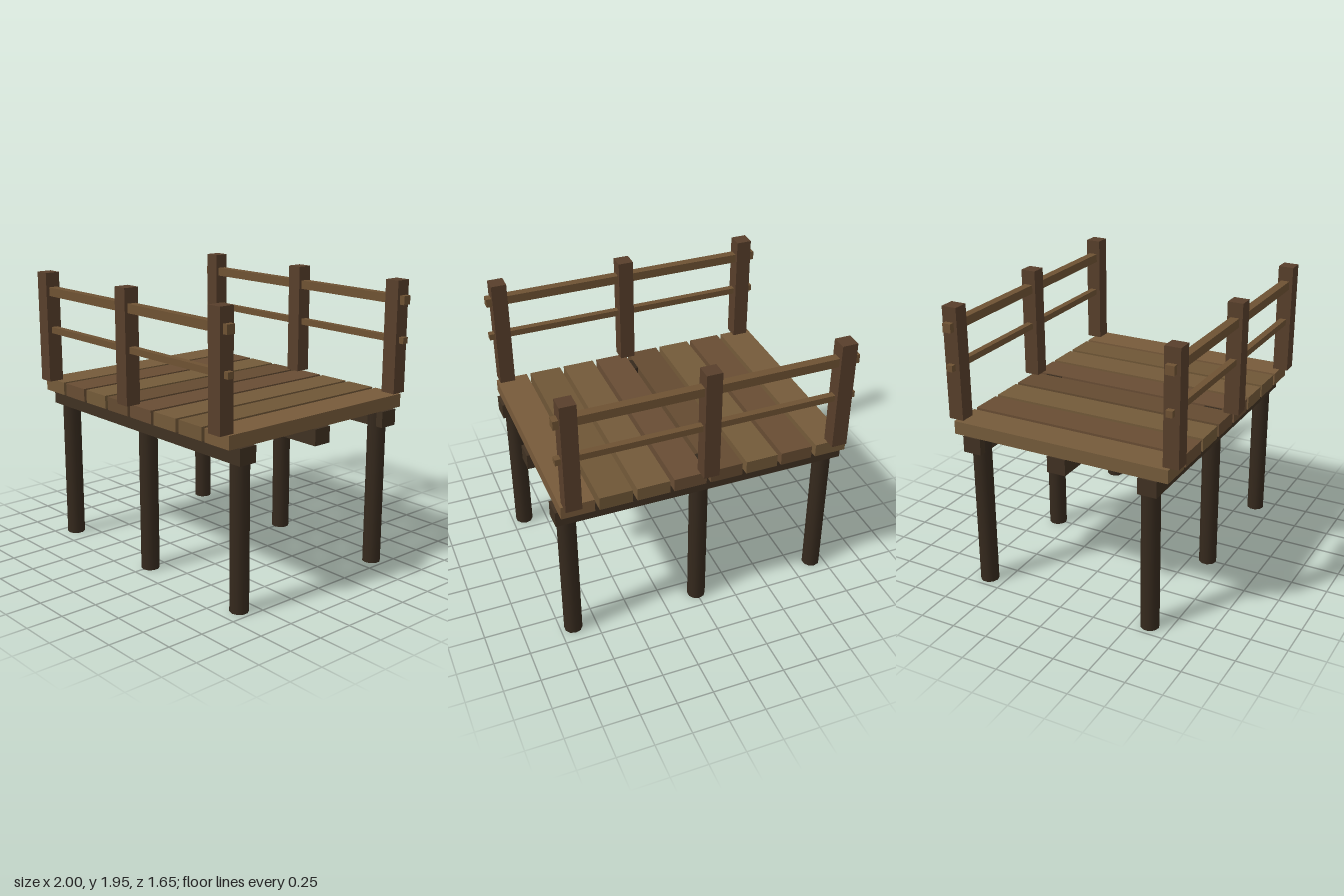
import * as THREE from 'three';

export function createModel() {
  const group = new THREE.Group();
  const paint = (color) => new THREE.MeshStandardMaterial({ color });
  const postWood = paint(0x583f2b);
  const railWood = paint(0x6e5233);
  const beamWood = paint(0x403122);
  const pileWood = paint(0x35291d);
  const plankWoods = [0x755b3a, 0x684d33, 0x735a39, 0x644b31, 0x684d34, 0x735939, 0x6f5636, 0x775a3a].map(paint);

  const add = (name, geometry, material, x, y, z) => {
    const mesh = new THREE.Mesh(geometry, material);
    mesh.name = name;
    mesh.position.set(x, y, z);
    group.add(mesh);
  };
  const box = (w, h, d) => new THREE.BoxGeometry(w, h, d);

  // Deck boards running front to back, with narrow gaps
  const plank = box(0.221, 0.09, 1.54);
  plankWoods.forEach((wood, i) => add('deckPlank', plank, wood, -0.88 + i * 0.25, 1.14, 0));

  // Three beams under the deck
  const beam = box(2, 0.11, 0.13);
  for (const z of [-0.635, 0, 0.635]) add('beam', beam, beamWood, 0, 1.04, z);

  // Round piles below, square railing posts above
  const pile = new THREE.CylinderGeometry(0.0625, 0.0625, 1.18, 10);
  const post = box(0.106, 0.765, 0.106);
  const topRail = box(2, 0.06, 0.06);
  const lowerRail = box(2, 0.043, 0.045);
  for (const side of [-1, 1]) {
    for (const x of [-0.91, 0, 0.91]) {
      add('pile', pile, pileWood, x, 0.59, side * 0.619);
      add('railingPost', post, postWood, x, 1.5675, side * 0.773);
    }
    // Rails pass through the posts and stick out at both ends
    add('topRail', topRail, railWood, 0, 1.82, side * 0.773);
    add('lowerRail', lowerRail, railWood, 0, 1.55, side * 0.773);
  }
  return group;
}
